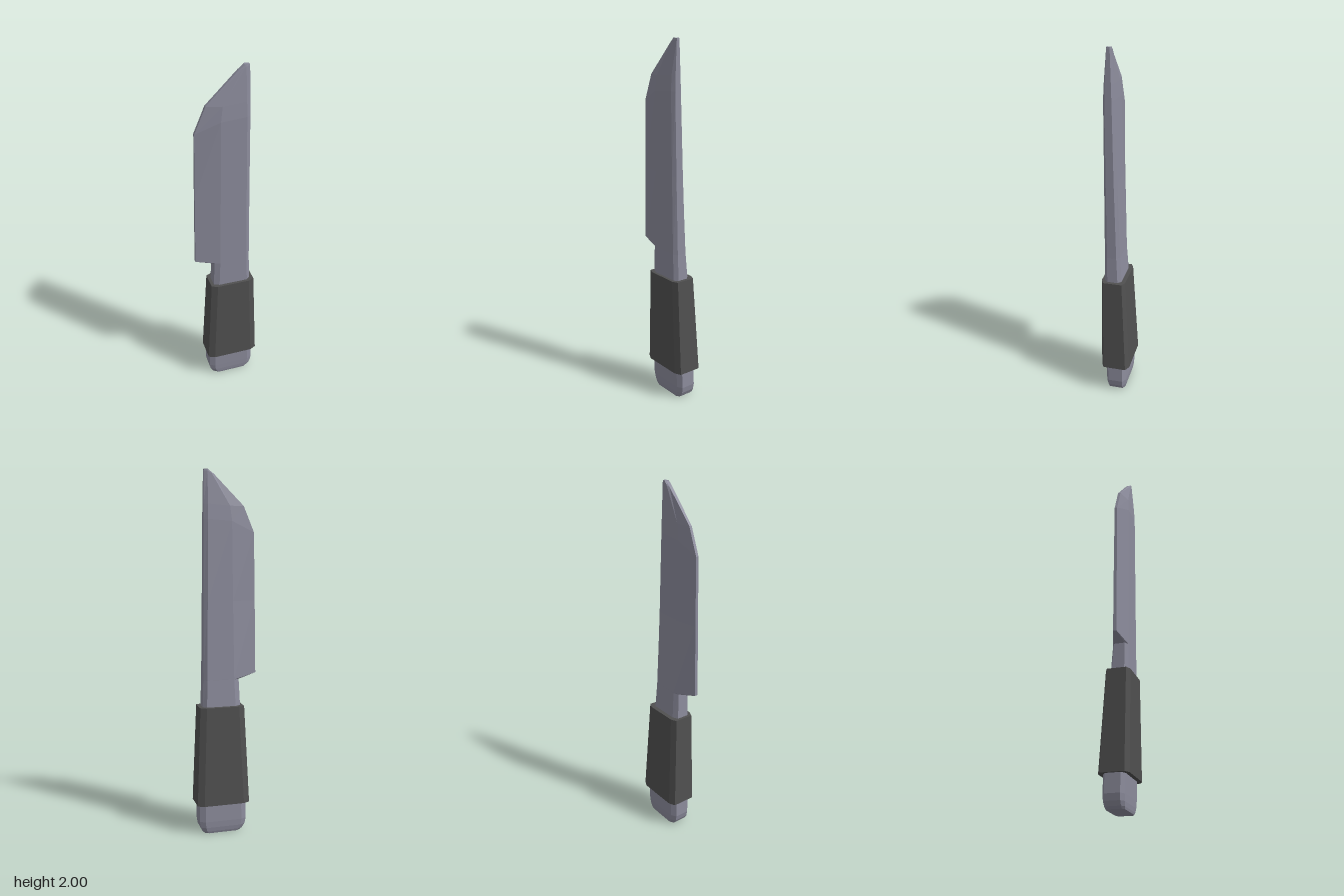
import * as THREE from 'three';

// Skin a stack of equal-length rings (counter-clockwise seen from above) and cap both ends
function loft(name, rings, color) {
  const pos = [];
  const tri = (a, b, c) => pos.push(...a, ...b, ...c);
  const n = rings[0].length;
  for (let i = 0; i < rings.length - 1; i++) {
    for (let k = 0; k < n; k++) {
      const j = (k + 1) % n;
      const a = rings[i][k], b = rings[i][j], c = rings[i + 1][j], d = rings[i + 1][k];
      tri(a, b, c);
      tri(a, c, d);
    }
  }
  const first = rings[0], last = rings[rings.length - 1];
  for (let k = 1; k < n - 1; k++) {
    tri(first[0], first[k + 1], first[k]);
    tri(last[0], last[k], last[k + 1]);
  }
  const geo = new THREE.BufferGeometry();
  geo.setAttribute('position', new THREE.Float32BufferAttribute(pos, 3));
  geo.computeVertexNormals();
  const mesh = new THREE.Mesh(geo, new THREE.MeshStandardMaterial({ color, flatShading: true }));
  mesh.name = name;
  return mesh;
}

// Rectangle with cut corners at height y
function octagon(y, xl, xr, zb, zf, cx, cz) {
  return [
    [xr, y, zf - cz], [xr, y, zb + cz], [xr - cx, y, zb], [xl + cx, y, zb],
    [xl, y, zb + cz], [xl, y, zf - cz], [xl + cx, y, zf], [xr - cx, y, zf],
  ];
}

// Blade section: chamfered spine, flat cheeks and a cutting edge with its own height
function bladeRing(y, yBevel, yEdge, xSpine, xBevel, xEdge, zb, zf, eb, ef) {
  const cx = 0.02, cz = (zf - zb) * 0.2;
  return [
    [xSpine, y, zf - cz], [xSpine, y, zb + cz], [xSpine - cx, y, zb],
    [xBevel, yBevel, zb], [xEdge, yEdge, eb], [xEdge, yEdge, ef],
    [xBevel, yBevel, zf], [xSpine - cx, y, zf],
  ];
}

export function createModel() {
  const group = new THREE.Group();
  group.name = 'knife';
  const steel = 0x8c8c9c, grip = 0x505050;

  // Blade with neck, stepped heel and clipped tip
  group.add(loft('blade', [
    bladeRing(0.60, 0.60, 0.60, 0.138, -0.055, -0.08, -0.035, 0.066, -0.018, 0.052),
    bladeRing(0.72, 0.72, 0.72, 0.133, -0.05, -0.08, -0.03, 0.066, -0.015, 0.052),
    bladeRing(0.868, 0.868, 0.868, 0.127, -0.045, -0.074, -0.02, 0.066, -0.006, 0.054),
    bladeRing(0.87, 0.87, 0.895, 0.127, -0.045, -0.18, -0.02, 0.066, 0.022, 0.04),
    bladeRing(1.30, 1.30, 1.30, 0.12, -0.042, -0.174, -0.003, 0.068, 0.023, 0.04),
    bladeRing(1.74, 1.73, 1.67, 0.114, -0.04, -0.168, 0.01, 0.07, 0.025, 0.04),
    bladeRing(1.82, 1.81, 1.81, 0.113, -0.03, -0.11, 0.014, 0.066, 0.027, 0.042),
    bladeRing(1.99, 1.98, 1.975, 0.111, 0.07, 0.055, 0.024, 0.053, 0.03, 0.045),
    bladeRing(2.0, 2.0, 1.998, 0.11, 0.088, 0.085, 0.026, 0.051, 0.031, 0.045),
  ], steel));

  // Tapered grip
  group.add(loft('handle', [
    octagon(0.17, -0.12, 0.177, -0.083, 0.08, 0.035, 0.017),
    octagon(0.72, -0.097, 0.152, -0.053, 0.082, 0.033, 0.015),
  ], grip));

  // Rounded butt below the grip
  group.add(loft('pommel', [
    octagon(0.0, -0.07, 0.13, -0.052, 0.046, 0.02, 0.012),
    octagon(0.012, -0.085, 0.144, -0.056, 0.049, 0.024, 0.014),
    octagon(0.035, -0.1, 0.155, -0.06, 0.052, 0.028, 0.016),
    octagon(0.07, -0.107, 0.161, -0.062, 0.054, 0.03, 0.017),
    octagon(0.25, -0.103, 0.157, -0.058, 0.06, 0.03, 0.017),
  ], steel));

  return group;
}
